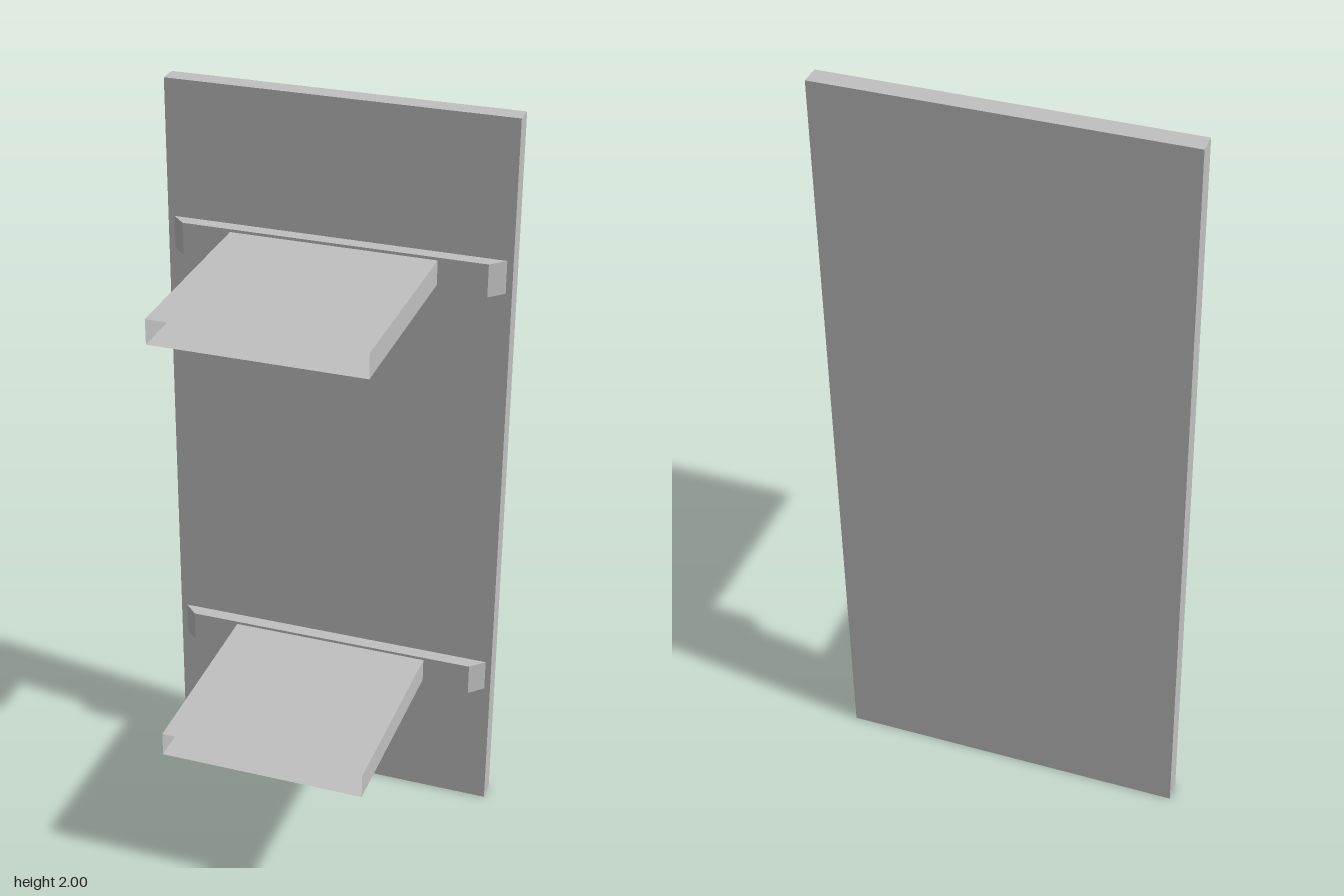
import * as THREE from 'three';

export function createModel() {
  const model = new THREE.Group();
  const grey = new THREE.MeshStandardMaterial({ color: 0xc0c0c0, side: THREE.DoubleSide });
  grey.name = 'plain grey';

  const add = (name, geometry, x, y, z) => {
    const mesh = new THREE.Mesh(geometry, grey);
    mesh.name = name;
    mesh.position.set(x, y, z);
    model.add(mesh);
  };

  // Tall upright board
  add('backPanel', new THREE.BoxGeometry(0.906, 2, 0.052), 0, 1, -0.292);

  // Rail: trapezoid plan with slanted ends, extruded upwards
  const railHeight = 0.087;
  const plan = new THREE.Shape([[-0.437, 0.266], [-0.4, 0.23], [0.4, 0.23], [0.437, 0.266]]
    .map(([x, y]) => new THREE.Vector2(x, y)));
  const rail = new THREE.ExtrudeGeometry(plan, { depth: railHeight, bevelEnabled: false });
  rail.rotateX(-Math.PI / 2);

  // Shelf: thin-walled sleeve, open at the front and back
  const shelf = new THREE.BoxGeometry(0.543, 0.065, 0.547);
  shelf.setIndex([...shelf.index.array].slice(0, 24)); // keep the sides, top and bottom
  shelf.clearGroups();

  [['lower', 0.37], ['upper', 1.55]].forEach(([level, y]) => {
    add(level + 'Rail', rail, 0, y, 0);
    add(level + 'Shelf', shelf, 0, y + 0.047, 0.0435);
  });

  return model;
}
